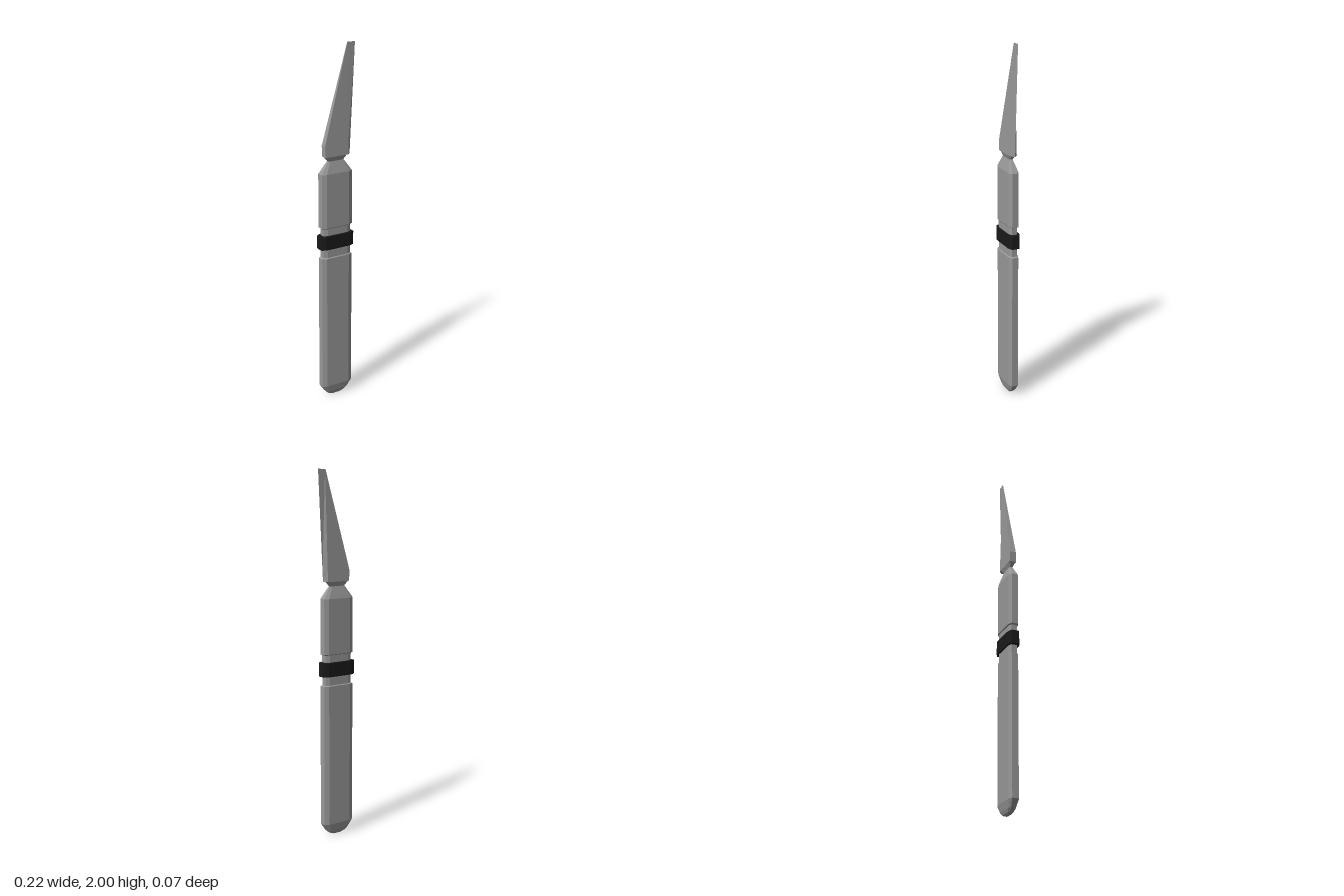
import * as THREE from 'three';

// Skin stacked loops of [x, y, z] points; each loop runs counter-clockwise seen from above
function loft(loops) {
  const pos = [];
  const n = loops[0].length;
  const tri = (a, b, c) => pos.push(...a, ...b, ...c);
  for (let k = 0; k < loops.length - 1; k++) {
    const lo = loops[k], hi = loops[k + 1];
    for (let i = 0; i < n; i++) {
      const j = (i + 1) % n;
      tri(lo[i], lo[j], hi[j]);
      tri(lo[i], hi[j], hi[i]);
    }
  }
  const bottom = loops[0], top = loops[loops.length - 1];
  for (let i = 1; i < n - 1; i++) {
    tri(bottom[0], bottom[i + 1], bottom[i]);
    tri(top[0], top[i], top[i + 1]);
  }
  const geometry = new THREE.BufferGeometry();
  geometry.setAttribute('position', new THREE.Float32BufferAttribute(pos, 3));
  geometry.computeVertexNormals();
  return geometry;
}

// Rectangle with chamfered corners: half width w, half depth d
const AXIS = -0.01;
function chamferedLoop([y, w, d]) {
  const cx = w * 0.26, cz = d * 0.36;
  return [
    [-w + cx, d], [w - cx, d], [w, d - cz], [w, -d + cz],
    [w - cx, -d], [-w + cx, -d], [-w, -d + cz], [-w, d - cz],
  ].map(([x, z]) => [x + AXIS, y, z]);
}

// Blade section: square spine, flat cheeks, and a bevel meeting at the cutting edge
function bladeLoop([y, spine, ridge, edge, t]) {
  return [[spine, y, t], [ridge, y, t], [edge, y, 0], [ridge, y, -t], [spine, y, -t]];
}

export function createModel() {
  const steel = new THREE.MeshStandardMaterial({ color: 0x999999 });
  const rubber = new THREE.MeshStandardMaterial({ color: 0x1a1a1a });
  steel.name = 'steelGrey';
  rubber.name = 'rubberBlack';

  const model = new THREE.Group();
  model.name = 'knife';
  const add = (name, loops, material) => {
    const mesh = new THREE.Mesh(loft(loops), material);
    mesh.name = name;
    model.add(mesh);
  };

  // Handle with rounded butt, recessed groove and tapered shoulder: [y, half width, half depth]
  add('handle', [
    [0, 0.027, 0.008],
    [0.008, 0.048, 0.014],
    [0.025, 0.068, 0.02],
    [0.065, 0.095, 0.028],
    [0.845, 0.095, 0.028],
    [0.85, 0.085, 0.024],
    [1.015, 0.085, 0.024],
    [1.02, 0.095, 0.028],
    [1.32, 0.095, 0.028],
    [1.385, 0.048, 0.01],
  ].map(chamferedLoop), steel);

  // Band around the groove
  add('band', [
    [0.898, 0.101, 0.032],
    [0.902, 0.103, 0.033],
    [0.972, 0.103, 0.033],
    [0.976, 0.101, 0.032],
  ].map(chamferedLoop), rubber);

  // Flared neck under the blade
  add('neck', [
    [1.375, 0.046, 0.01],
    [1.385, 0.046, 0.01],
    [1.412, 0.068, 0.019],
  ].map(chamferedLoop), steel);

  // Blade: [y, spine x, bevel x, edge x, half thickness]
  add('blade', [
    [1.41, -0.08, 0.06, 0.08, 0.019],
    [1.47, -0.083, 0.061, 0.083, 0.017],
    [2.0, 0.063, 0.066, 0.11, 0.001],
  ].map(bladeLoop), steel);

  return model;
}
